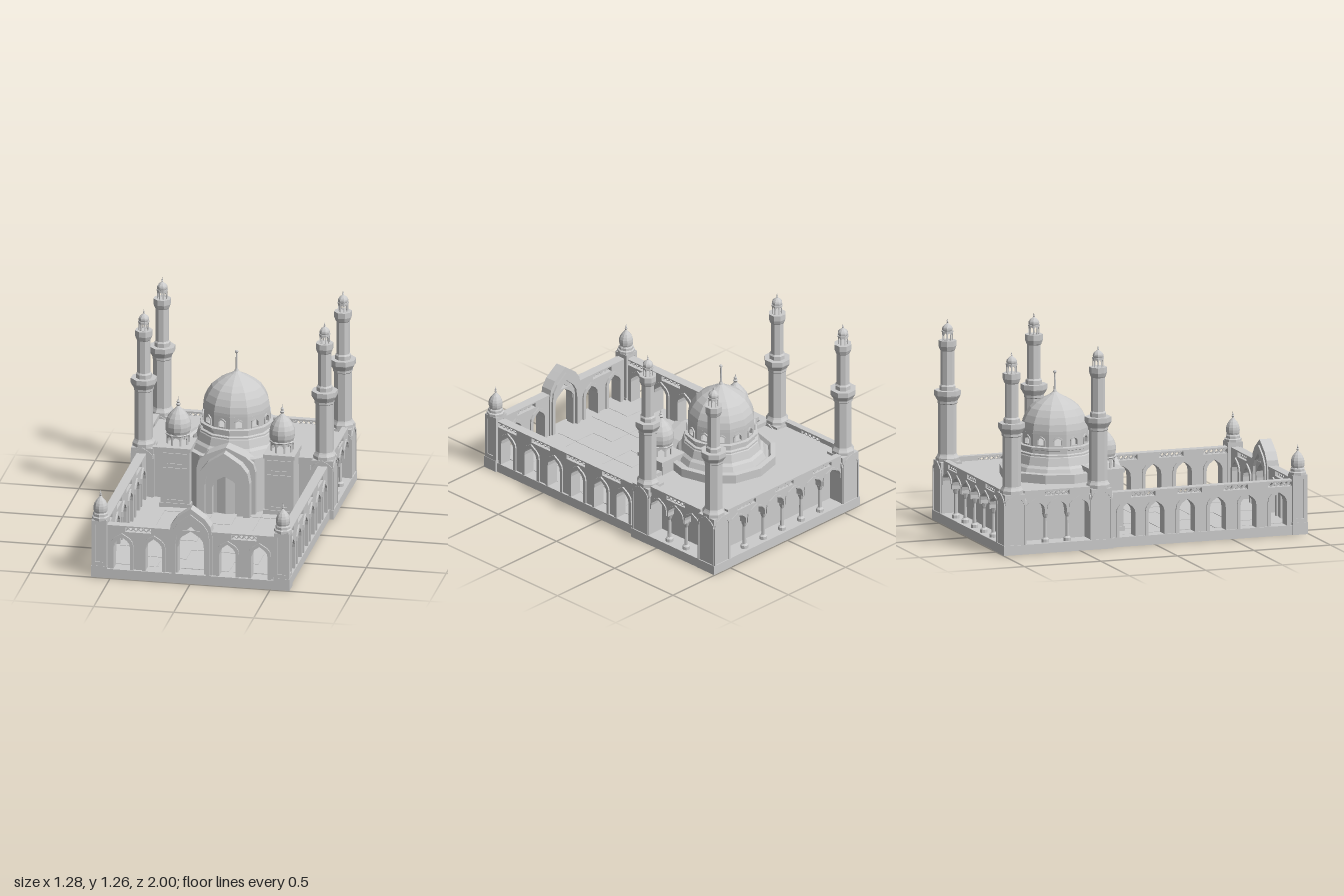
import * as THREE from 'three';

const mat = new THREE.MeshStandardMaterial({ color: 0xcccccc, flatShading: true, side: THREE.DoubleSide });
const V = (x, y) => new THREE.Vector2(x, y);

function add(parent, geo, name, x = 0, y = 0, z = 0) {
  const m = new THREE.Mesh(geo, mat);
  m.name = name;
  m.position.set(x, y, z);
  parent.add(m);
  return m;
}
// box given by its limits
function box(parent, name, x0, x1, y0, y1, z0, z1) {
  return add(parent, new THREE.BoxGeometry(x1 - x0, y1 - y0, z1 - z0), name, (x0 + x1) / 2, (y0 + y1) / 2, (z0 + z1) / 2);
}
function group(parent, name, x = 0, y = 0, z = 0, ry = 0) {
  const g = new THREE.Group();
  g.name = name;
  g.position.set(x, y, z);
  g.rotation.y = ry;
  parent.add(g);
  return g;
}
const lathe = (parent, name, pts, n) => add(parent, new THREE.LatheGeometry(pts.map(p => V(p[0], p[1])), n), name);

// pointed arch outline, from left foot over the peak to the right foot
function archPts(c, w, y0, s, p) {
  const h = p - s;
  const half = [[1, y0], [1, s], [0.92, s + 0.36 * h], [0.66, s + 0.64 * h], [0.3, s + 0.84 * h]];
  return [...half.map(a => V(c - w * a[0], a[1])), V(c, p), ...half.reverse().map(a => V(c + w * a[0], a[1]))];
}
// extrusion centred on z = 0
function plate(parent, name, pts, depth, holes = [], z = 0) {
  const s = new THREE.Shape(pts);
  s.holes = holes.map(h => new THREE.Path(h));
  const g = new THREE.ExtrudeGeometry(s, { depth, bevelEnabled: false }).translate(0, 0, -depth / 2);
  return add(parent, g, name, 0, 0, z);
}
// arch moulding between an outer and an inner arch: [halfWidth, spring, peak]
function archFrame(parent, name, c, y0, outer, inner, depth, z = 0) {
  return plate(parent, name, [...archPts(c, outer[0], y0, outer[1], outer[2]),
    ...archPts(c, inner[0], y0, inner[1], inner[2]).reverse()], depth, [], z);
}
// wall with arches open at the bottom and pierced lattice panels near the top
function wall(parent, x0, x1, y0, y1, depth, arches, lattices, lw, ly0, ly1) {
  const pts = [V(x0, y0)];
  arches.forEach(a => pts.push(...archPts(a[0], a[1], y0, a[2], a[3])));
  pts.push(V(x1, y0), V(x1, y1), V(x0, y1));
  const holes = lattices.map(c => [V(c - lw / 2, ly0), V(c - lw / 2, ly1), V(c + lw / 2, ly1), V(c + lw / 2, ly0)]);
  plate(parent, 'wall', pts, depth, holes);
  const n = 5, bw = lw / n, h = ly1 - ly0;
  for (const c of lattices) for (let i = 0; i < n; i++) for (const s of [-1, 1]) {
    const b = add(parent, new THREE.BoxGeometry(Math.hypot(bw, h), 0.005, 0.02), 'latticeBar',
      c - lw / 2 + (i + 0.5) * bw, (ly0 + ly1) / 2, 0);
    b.rotation.z = s * Math.atan2(h, bw);
  }
}
// ring of n panels, each pierced by a pointed opening
function windowRing(parent, name, n, r, y0, y1, w, w0, w1, depth, frame) {
  const a = r * Math.cos(Math.PI / n), hw = r * Math.sin(Math.PI / n);
  for (let i = 0; i < n; i++) {
    const g = group(parent, name, 0, 0, 0, (i + 0.5) * 2 * Math.PI / n);
    const s = w0 + (w1 - w0) * 0.6;
    plate(g, 'panel', [V(-hw, y0), V(hw, y0), V(hw, y1), V(-hw, y1)], depth, [archPts(0, w, w0, s, w1)], a - depth / 2);
    if (frame) plate(g, 'windowFrame', archPts(0, w * 1.4, w0 - 0.008, s, w1 + 0.01), 0.012,
      [archPts(0, w, w0, s, w1)], a + 0.002);
  }
}
// onion dome with a beaded finial
function onion(parent, name, r, y, h, fin, n) {
  const prof = [[0.88, 0], [0.97, 0.12], [1, 0.28], [0.96, 0.44], [0.82, 0.6], [0.58, 0.76], [0.3, 0.89], [0.1, 1]];
  lathe(parent, name, [[0, y], ...prof.map(p => [p[0] * r, y + p[1] * h])], n);
  const t = y + h, f = r * 0.16;
  lathe(parent, 'finial', [[0.1 * r, t], [f, t + fin * 0.1], [f * 1.2, t + fin * 0.2], [f * 0.5, t + fin * 0.32],
    [f * 0.9, t + fin * 0.45], [f * 0.3, t + fin * 0.62], [0, t + fin]], 8);
}

function minaret(root, x, z) {
  const g = group(root, 'minaret', x, 0, z, Math.PI / 8);
  lathe(g, 'shaft', [[0.072, 0.36], [0.072, 0.395], [0.062, 0.41], [0.057, 0.42], [0.057, 0.73], [0.062, 0.735], [0.062, 0.75],
    [0.08, 0.78], [0.082, 0.785], [0.082, 0.815], [0.05, 0.815], [0.05, 0.84], [0.042, 0.85], [0.042, 1.06], [0.046, 1.065],
    [0.055, 1.09], [0.055, 1.125], [0, 1.125]], 8);
  windowRing(g, 'lantern', 8, 0.033, 1.125, 1.18, 0.009, 1.126, 1.172, 0.005);
  lathe(g, 'lanternCornice', [[0, 1.176], [0.036, 1.176], [0.036, 1.184], [0, 1.184]], 8);
  onion(g, 'cap', 0.033, 1.182, 0.05, 0.03, 8);
}

function cornerBlock(root, x, z) {
  const g = group(root, 'minaretBase', x, 0, z);
  box(g, 'block', -0.068, 0.068, 0, 0.375, -0.068, 0.068);
  box(g, 'plinth', -0.075, 0.075, 0, 0.06, -0.075, 0.075);
  for (let i = 0; i < 4; i++) {
    const f = group(g, 'archedFace', 0, 0, 0, i * Math.PI / 2);
    archFrame(f, 'moulding', 0, 0.06, [0.068, 0.31, 0.378], [0.058, 0.3, 0.362], 0.012, 0.068);
  }
}

function column(parent, x, z) {
  const g = group(parent, 'column', x, 0, z);
  lathe(g, 'columnShaft', [[0.024, 0.06], [0.024, 0.08], [0.012, 0.09], [0.01, 0.21], [0.014, 0.22], [0.022, 0.245]], 8);
}

export function createModel() {
  const root = new THREE.Group();
  root.name = 'domedCourtyardBuilding';

  // platforms
  box(root, 'courtPlatform', -0.61, 0.61, 0, 0.06, -0.3, 0.995);
  box(root, 'rearPlatform', -0.635, 0.635, 0, 0.06, -0.995, -0.285);

  // paving slabs, slightly uneven
  for (let i = 0; i < 7; i++) for (let j = 0; j < 7; j++) {
    const x = -0.525 + i * 0.15, z = -0.22 + j * 0.16, h = 0.061 + ((i * 5 + j * 3) % 7) * 0.0006;
    box(root, 'pavingSlab', x, x + 0.149, 0.055, h, z, z + 0.159);
  }

  // courtyard walls with arched openings
  const open = [0.052, 0.2, 0.27], trim = [0.072, 0.21, 0.292];
  const opening = c => [c, ...open];
  const frontX = [-0.43, -0.23, 0.23, 0.43];
  const front = group(root, 'frontWall', 0, 0, 0.945);
  wall(front, -0.54, 0.54, 0.06, 0.34, 0.06,
    [opening(-0.43), opening(-0.23), [0, 0.085, 0.23, 0.335], opening(0.23), opening(0.43)], [-0.33, 0.33], 0.16, 0.302, 0.332);
  frontX.forEach(c => archFrame(front, 'archTrim', c, 0.06, trim, open, 0.08));
  const sideA = [-0.81, -0.61, -0.41, -0.21, -0.01, 0.18];
  for (const s of [-1, 1]) {
    const g = group(root, 'sideWall', s * 0.567, 0, 0, Math.PI / 2);
    wall(g, -0.93, 0.3, 0.06, 0.34, 0.06, sideA.map(opening), [-0.82, -0.53, -0.23, 0.075], 0.16, 0.302, 0.332);
    sideA.forEach(c => archFrame(g, 'archTrim', c, 0.06, trim, open, 0.08));
  }

  // front gate with stepped pointed mouldings
  const gate = group(root, 'frontGate', 0, 0, 0.945);
  archFrame(gate, 'outerMoulding', 0, 0.06, [0.135, 0.31, 0.485], [0.11, 0.28, 0.43], 0.075);
  archFrame(gate, 'middleMoulding', 0, 0.06, [0.118, 0.29, 0.45], [0.095, 0.25, 0.4], 0.095);
  archFrame(gate, 'innerMoulding', 0, 0.06, [0.1, 0.26, 0.41], [0.08, 0.23, 0.365], 0.05);

  // front corner pillars
  for (const s of [-1, 1]) {
    const p = group(root, 'cornerPillar', s * 0.57, 0, 0.945);
    box(p, 'pillarFoot', -0.05, 0.05, 0, 0.075, -0.05, 0.05);
    box(p, 'pillar', -0.042, 0.042, 0.06, 0.375, -0.042, 0.042);
    for (let i = 0; i < 4; i++) {
      const f = group(p, 'pillarFace', 0, 0, 0, i * Math.PI / 2);
      plate(f, 'pillarFrame', [V(-0.045, 0.07), V(0.045, 0.07), V(0.045, 0.37), V(-0.045, 0.37)], 0.012,
        [[V(-0.024, 0.1), V(-0.024, 0.345), V(0.024, 0.345), V(0.024, 0.1)]], 0.042);
    }
    lathe(p, 'pillarCornice', [[0, 0.365], [0.055, 0.368], [0.055, 0.385], [0.046, 0.39], [0.046, 0.405], [0.038, 0.415], [0, 0.415]], 8);
    onion(p, 'pillarDome', 0.044, 0.412, 0.105, 0.045, 10);
  }

  // rear hall: core, roof, arcades and corner blocks
  box(root, 'hallCore', -0.51, 0.51, 0.06, 0.36, -0.88, -0.3);
  box(root, 'hallRoof', -0.572, 0.572, 0.342, 0.36, -0.945, -0.3);
  box(root, 'hallFrontParapet', -0.5, 0.5, 0.34, 0.385, -0.33, -0.297);
  const bays = (n, x0, x1) => Array.from({ length: n }, (_, i) => x0 + (i + 0.5) * (x1 - x0) / n);
  const arcade = (g, n, x0, x1, lattices) => {
    const w = (x1 - x0) / n, b = bays(n, x0, x1), a = [w / 2 - 0.012, 0.265, 0.325];
    wall(g, x0, x1, 0.24, 0.39, 0.04, b.map(c => [c, ...a]), lattices, 0.16, 0.352, 0.38);
    b.forEach(c => archFrame(g, 'arcadeTrim', c, 0.24, [w / 2 - 0.003, 0.27, 0.34], a, 0.055));
    for (let i = 1; i < n; i++) column(g, x0 + i * w, 0);
  };
  arcade(group(root, 'backArcade', 0, 0, -0.955), 6, -0.495, 0.495, [-0.33, 0, 0.33]);
  for (const s of [-1, 1]) {
    arcade(group(root, 'sideArcade', s * 0.59, 0, 0, Math.PI / 2), 3, 0.425, 0.855, [0.64]);
    for (const z of [-0.357, -0.922]) {
      cornerBlock(root, s * 0.562, z);
      minaret(root, s * 0.565, z);
    }
  }

  // main dome on stepped twelve-sided base
  const dome = group(root, 'mainDome', 0, 0, -0.43);
  lathe(dome, 'domeBase', [[0.345, 0.06], [0.345, 0.415], [0.315, 0.42], [0.3, 0.4], [0.285, 0.4], [0.268, 0.435], [0.25, 0.45],
    [0.235, 0.5], [0.23, 0.505], [0.23, 0.515], [0.215, 0.52], [0.215, 0.54], [0.23, 0.545], [0.23, 0.56], [0.2, 0.565], [0, 0.565]], 12);
  windowRing(dome, 'drumWindow', 12, 0.209, 0.56, 0.64, 0.021, 0.574, 0.618, 0.015, true);
  lathe(dome, 'domeShell', [[0.209, 0.635], [0.208, 0.66], [0.2, 0.7], [0.182, 0.74], [0.155, 0.78], [0.12, 0.81],
    [0.075, 0.837], [0.035, 0.857], [0.014, 0.872], [0.007, 0.89], [0.005, 0.985], [0, 0.985]], 12);
  add(dome, new THREE.SphereGeometry(0.011, 8, 6), 'finialBall', 0, 0.997, 0);

  // hall entrance portal
  const portal = group(root, 'hallPortal');
  plate(portal, 'portalBody', archPts(0, 0.185, 0.06, 0.34, 0.49), 0.12, [], -0.16);
  archFrame(portal, 'portalOuter', 0, 0.06, [0.16, 0.28, 0.472], [0.12, 0.26, 0.41], 0.065, -0.072);
  archFrame(portal, 'portalInner', 0, 0.06, [0.125, 0.265, 0.42], [0.078, 0.24, 0.315], 0.045, -0.08);

  // flanking towers with small lantern domes
  for (const s of [-1, 1]) {
    const t = group(root, 'flankTower', s * 0.325, 0, -0.235);
    box(t, 'towerBlock', -0.09, 0.09, 0.06, 0.445, -0.1, 0.1);
    box(t, 'towerFoot', -0.098, 0.098, 0.06, 0.09, -0.106, 0.106);
    box(t, 'towerCornice', -0.098, 0.098, 0.425, 0.45, -0.106, 0.106);
    for (const [y0, y1] of [[0.1, 0.32], [0.335, 0.415]]) {
      plate(t, 'towerPanel', [V(-0.075, y0), V(0.075, y0), V(0.075, y1), V(-0.075, y1)], 0.012,
        [[V(-0.05, y0 + 0.012), V(-0.05, y1 - 0.012), V(0.05, y1 - 0.012), V(0.05, y0 + 0.012)]], 0.1);
    }
    const l = group(t, 'towerLantern', 0, 0, 0, Math.PI / 8);
    windowRing(l, 'lanternArch', 8, 0.072, 0.445, 0.515, 0.02, 0.446, 0.502, 0.008);
    lathe(l, 'lanternCornice', [[0, 0.508], [0.076, 0.508], [0.08, 0.515], [0.072, 0.522], [0, 0.522]], 8);
    onion(l, 'towerDome', 0.081, 0.518, 0.172, 0.06, 12);
  }
  return root;
}
